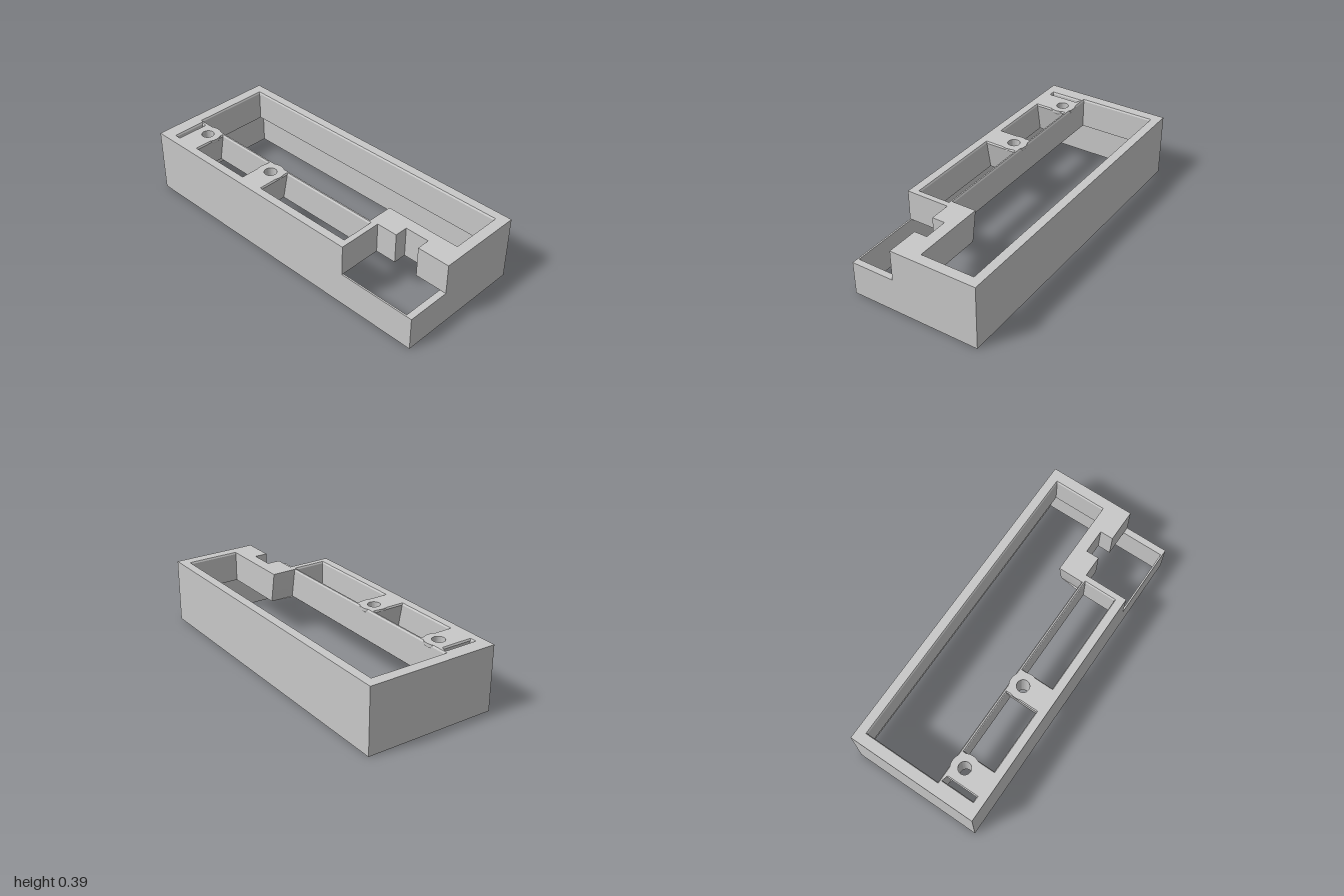
import * as THREE from 'three';
import { toCreasedNormals } from 'three/addons/utils/BufferGeometryUtils.js';

const TOP = 0.392, DECK = 0.205, BEVEL = 0.006;

// Path from [x, z] points, laid flat when the extrusion is turned upright
const path = (Type, pts) => new Type(pts.map(([x, z]) => new THREE.Vector2(x, -z)));
// Outlines run counter-clockwise so that the walls of their holes face inwards
const outline = (pts) => path(THREE.Shape, pts.reverse());
const rect = (x0, z0, x1, z1) => [[x0, z0], [x1, z0], [x1, z1], [x0, z1]];

function extrudeUp(shape, y0, y1, steps = 1) {
  const g = new THREE.ExtrudeGeometry(shape, { depth: y1 - y0, steps, bevelEnabled: false, curveSegments: 20 });
  g.rotateX(-Math.PI / 2);
  g.translate(0, y0, 0);
  return g;
}

export function createModel() {
  const group = new THREE.Group();
  const grey = new THREE.MeshStandardMaterial({ color: 0xc8c8c8 });
  grey.name = 'lightGrey';
  const add = (name, geo) => {
    const mesh = new THREE.Mesh(geo, grey);
    mesh.name = name;
    group.add(mesh);
    return mesh;
  };

  // Thin lower skirt, open at the bottom and at the cut-away corner
  const skirt = outline(rect(-0.4, -1, 0.4, 1));
  skirt.holes.push(path(THREE.Path, rect(-0.39, -0.96, 0.39, 0.96)));
  add('lowerSkirt', extrudeUp(skirt, 0, DECK));

  // Deck outline with the cut-away corner and a small square slot
  const deck = outline([
    [-0.4, -1], [0.4, -1], [0.4, 1], [-0.13, 1], [-0.13, 0.8], [-0.05, 0.8],
    [-0.05, 0.65], [-0.13, 0.65], [-0.13, 0.52], [-0.4, 0.52],
  ]);

  // Opening corners: x, z, outward bevel direction x and z, shift in z at the underside
  const corners = [];
  const opening = (list) => {
    deck.holes.push(path(THREE.Path, list));
    corners.push(...list);
  };
  const pocket = (z0, z1, taper0, taper1) => opening([
    [-0.345, z0, -1, -1, -taper0], [-0.15, z0, 1, -1, -taper0],
    [-0.15, z1, 1, 1, taper1], [-0.345, z1, -1, 1, taper1],
  ]);
  opening([
    [-0.13, -0.93, -1, -1, 0], [0.34, -0.93, 1, -1, 0], [0.34, 0.93, 1, 1, 0],
    [0.02, 0.93, 0, 1, 0], [0.02, 0.47, 0, 0, 0.03], [-0.13, 0.47, -1, 0, 0.03],
  ]);
  pocket(-0.91, -0.88, 0, 0.035);
  pocket(-0.715, -0.315, 0.035, 0.035);
  pocket(-0.155, 0.48, 0.035, 0);

  // Screw holes through the cross bars
  const screws = [-0.79, -0.235];
  for (const z of screws) {
    deck.holes.push(new THREE.Path().absarc(-0.205, -z, 0.037, 0, Math.PI * 2, true));
  }

  // Bevel the top of the openings and taper the bars towards the underside
  const geo = extrudeUp(deck, DECK, TOP, 2);
  const p = geo.attributes.position;
  const near = (a, b) => Math.abs(a - b) < 1e-4;
  for (let i = 0; i < p.count; i++) {
    const x = p.getX(i), y = p.getY(i), z = p.getZ(i);
    const c = corners.find((k) => near(k[0], x) && near(k[1], z));
    if (near(y, TOP)) {
      if (c) p.setXYZ(i, x + c[2] * BEVEL, y, z + c[3] * BEVEL);
    } else if (near(y, DECK)) {
      if (c) p.setZ(i, z + c[4]);
    } else {
      p.setY(i, TOP - 0.01);
    }
  }
  add('upperDeck', toCreasedNormals(geo, 0.5));

  // Round seats around the screw holes
  const profile = [[0.037, 0.33], [0.05, 0.33], [0.08, 0.375], [0.08, TOP], [0.037, TOP]]
    .map(([r, y]) => new THREE.Vector2(r, y));
  for (const z of screws) {
    const seat = add('screwSeat', toCreasedNormals(new THREE.LatheGeometry(profile, 40), 0.5));
    seat.position.set(-0.205, 0, z);
  }
  return group;
}
